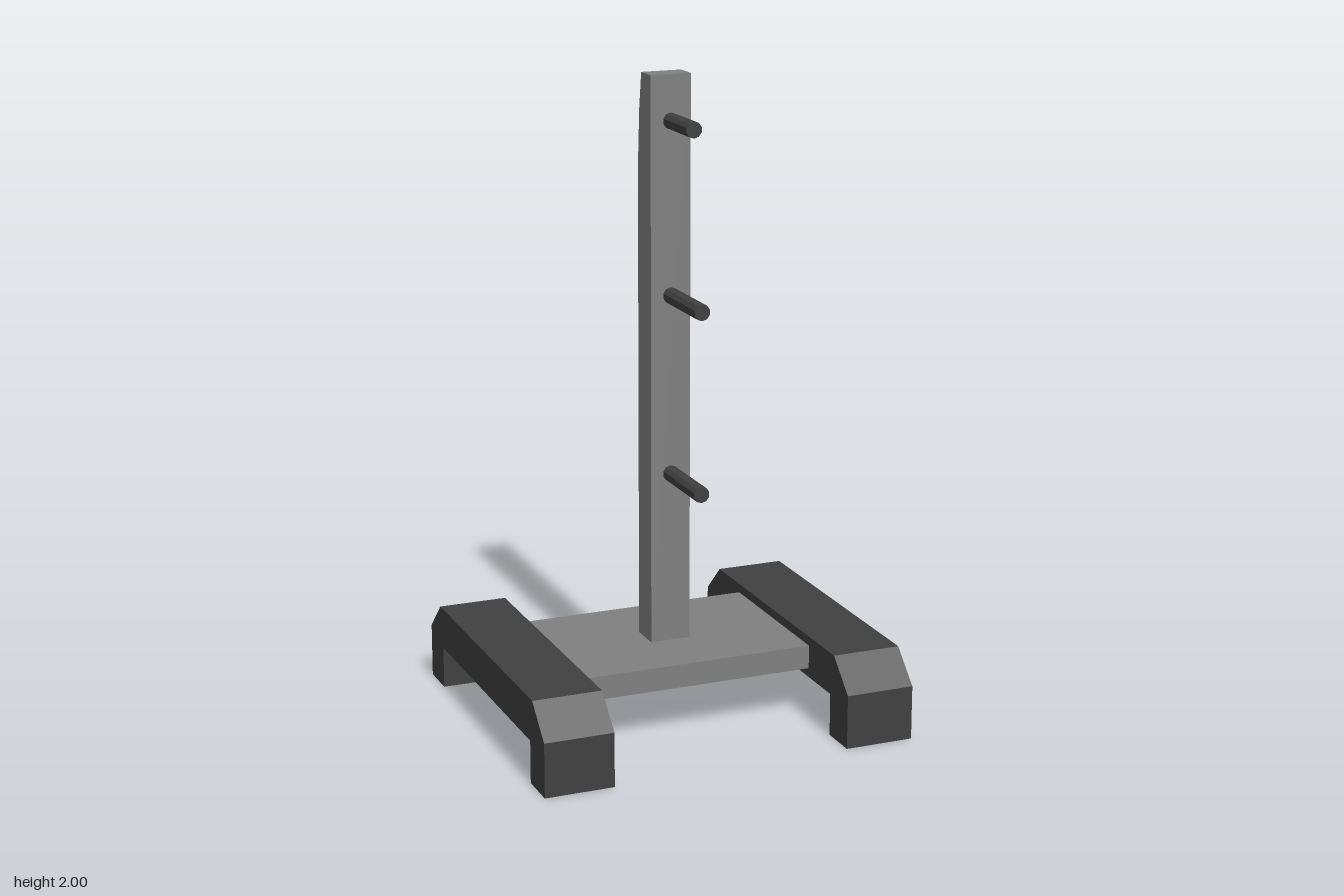
import * as THREE from 'three';

const steel = new THREE.MeshStandardMaterial({ color: 0x808080, flatShading: true });
steel.name = 'grey steel';
const dark = new THREE.MeshStandardMaterial({ color: 0x404040, flatShading: true });
dark.name = 'dark grey';

// Extrudes a side profile of [z, y] points across x, centred on x = 0
function sideExtrude(points, width) {
  const shape = new THREE.Shape(points.map(([z, y]) => new THREE.Vector2(-z, y)));
  const geometry = new THREE.ExtrudeGeometry(shape, { depth: width, bevelEnabled: false });
  return geometry.translate(0, 0, -width / 2).rotateY(Math.PI / 2);
}

export function createModel() {
  const group = new THREE.Group();
  const add = (name, geometry, material, x = 0, y = 0, z = 0) => {
    const mesh = new THREE.Mesh(geometry, material);
    mesh.name = name;
    mesh.position.set(x, y, z);
    group.add(mesh);
  };

  // Two bridge-shaped feet with chamfered ends
  const foot = sideExtrude([
    [0.535, 0], [0.535, 0.17], [0.436, 0.265], [-0.436, 0.265], [-0.535, 0.17],
    [-0.535, 0], [-0.414, 0], [-0.414, 0.133], [0.414, 0.133], [0.414, 0],
  ], 0.217);
  add('leftFoot', foot, dark, 0.4845);
  add('rightFoot', foot, dark, -0.4845);

  // Plate spanning the feet
  add('basePlate', new THREE.BoxGeometry(0.756, 0.074, 0.534), steel, 0, 0.199, -0.008);

  // Upright whose back curves forward near the top
  add('post', sideExtrude([
    [0.048, 0.236], [0.048, 2], [-0.026, 2], [-0.042, 1.89], [-0.054, 1.71], [-0.054, 0.236],
  ], 0.128), steel);

  // Pegs on the front of the post
  [['lowerPeg', 0.777, 0.292], ['middlePeg', 1.334, 0.292], ['upperPeg', 1.862, 0.226]]
    .forEach(([name, y, end]) => {
      const length = end - 0.045;
      const peg = new THREE.CylinderGeometry(0.025, 0.025, length, 10).rotateX(Math.PI / 2);
      add(name, peg, dark, 0, y, 0.045 + length / 2);
    });

  return group;
}
